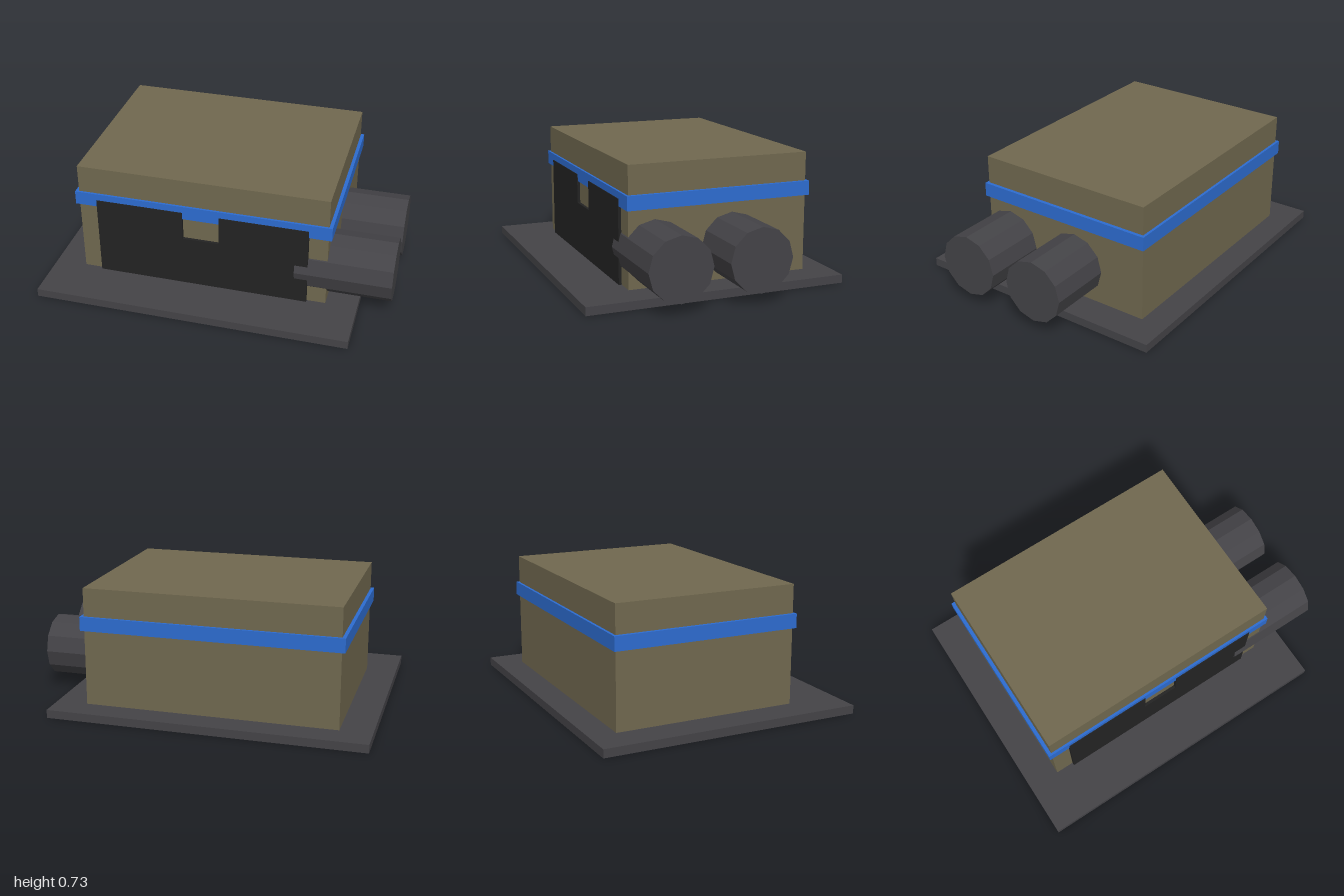
import * as THREE from 'three';

const material = (name, color, extra = {}) => {
  const m = new THREE.MeshStandardMaterial({ color, ...extra });
  m.name = name;
  return m;
};

export function createModel() {
  const model = new THREE.Group();
  model.name = 'building';

  const tan = material('tanWall', 0x70684f);
  const blue = material('blueTrim', 0x2d6cd0);
  const grey = material('darkGrey', 0x444347, { flatShading: true });
  const black = material('blackPanel', 0x232323);

  // Box given by its lower and upper limits on each axis
  const box = (name, mat, [x0, x1], [y0, y1], [z0, z1]) => {
    const mesh = new THREE.Mesh(new THREE.BoxGeometry(x1 - x0, y1 - y0, z1 - z0), mat);
    mesh.position.set((x0 + x1) / 2, (y0 + y1) / 2, (z0 + z1) / 2);
    mesh.name = name;
    model.add(mesh);
  };

  // Ground slab, main block and the trim around it
  box('baseSlab', grey, [-1, 0.815], [0, 0.048], [-0.757, 0.757]);
  box('mainBlock', tan, [-0.818, 0.633], [0.048, 0.73], [-0.605, 0.456]);
  box('trimBand', blue, [-0.838, 0.653], [0.486, 0.567], [-0.62, 0.469]);

  // Front panels: two tall ones joined by a low one
  const depth = [0.44, 0.473];
  box('leftFrontPanel', black, [0.013, 0.525], [0.048, 0.528], depth);
  box('middleFrontPanel', black, [-0.2, 0.013], [0.048, 0.355], depth);
  box('rightFrontPanel', black, [-0.71, -0.2], [0.048, 0.528], depth);

  // Twelve-sided tanks lying along x, set into the side wall
  const tankGeometry = new THREE.CylinderGeometry(0.181, 0.181, 0.55, 12);
  tankGeometry.rotateZ(-Math.PI / 2);
  [['frontTank', 0.304], ['rearTank', -0.152]].forEach(([name, z]) => {
    const tank = new THREE.Mesh(tankGeometry, grey);
    tank.position.set(0.725, 0.245, z);
    tank.name = name;
    model.add(tank);
  });

  return model;
}
